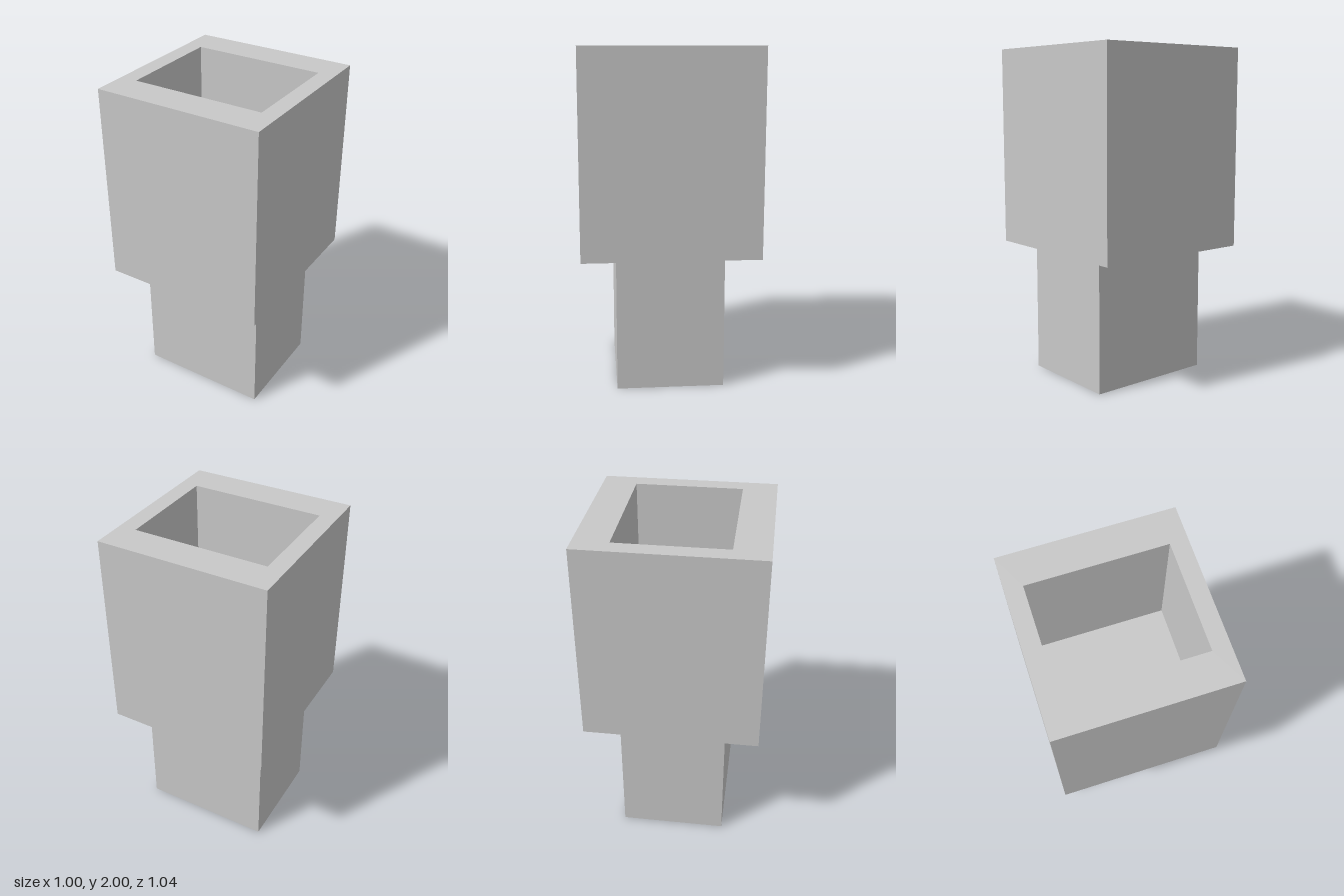
import * as THREE from 'three';

const BODY = { x: 0.5, z: 0.52, bottom: 0.8, top: 2 };
const PEG = { x: 0.398, z: 0.318 }; // the socket has the same cross-section
const SOCKET_FLOOR = 1.2;

// Four corners of a rectangle, anticlockwise
const corners = (x, z) => [[-x, -z], [x, -z], [x, z], [-x, z]].map(([a, b]) => new THREE.Vector2(a, b));

export function createModel() {
  const model = new THREE.Group();
  const grey = new THREE.MeshStandardMaterial({ color: 0xc8c8c8 });
  grey.name = 'lightGrey';

  const add = (name, geometry, y) => {
    const mesh = new THREE.Mesh(geometry, grey);
    mesh.name = name;
    mesh.position.y = y;
    model.add(mesh);
  };

  // Square collar around the open socket
  const outline = new THREE.Shape(corners(BODY.x, BODY.z));
  outline.holes.push(new THREE.Path(corners(PEG.x, PEG.z).reverse()));
  const collar = new THREE.ExtrudeGeometry(outline, { depth: BODY.top - BODY.bottom, bevelEnabled: false });
  collar.rotateX(-Math.PI / 2);
  add('socketBody', collar, BODY.bottom);

  // Solid peg, rising inside the collar to form the socket floor
  add('peg', new THREE.BoxGeometry(PEG.x * 2, SOCKET_FLOOR, PEG.z * 2), SOCKET_FLOOR / 2);

  return model;
}
